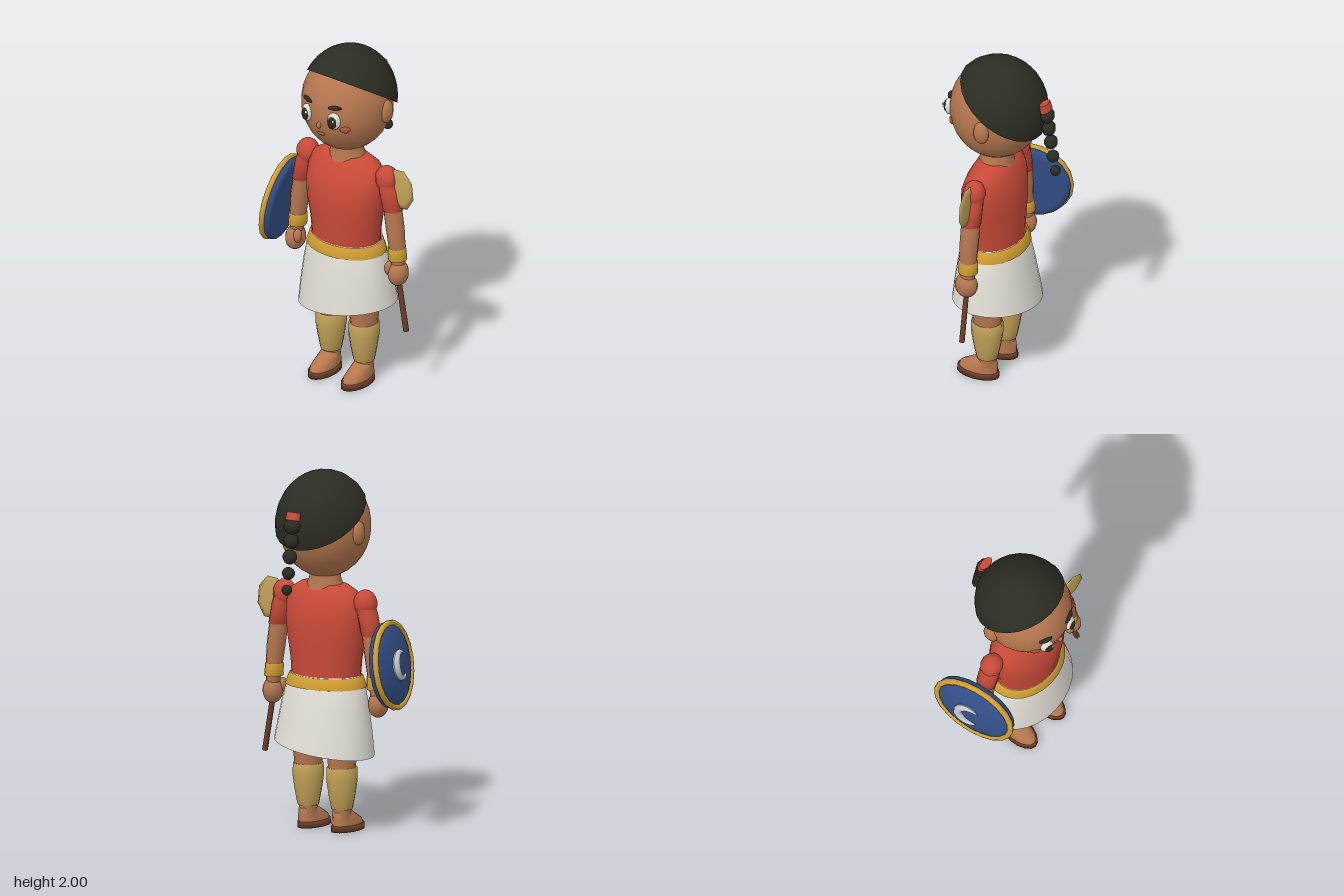
import * as THREE from 'three';
import { mergeVertices } from 'three/addons/utils/BufferGeometryUtils.js';

const mat = (name, color) => Object.assign(new THREE.MeshStandardMaterial({ color }), { name });

// Tube of elliptical rings listed from top to bottom: [y, rx, rz, cx, cz]
function loft(rings, seg = 18) {
  let g = new THREE.CylinderGeometry(1, 1, 1, seg, rings.length - 1, true);
  const p = g.attributes.position;
  for (let i = 0; i < p.count; i++) {
    const [y, rx, rz, cx = 0, cz = 0] = rings[Math.floor(i / (seg + 1))];
    p.setXYZ(i, p.getX(i) * rx + cx, y, p.getZ(i) * rz + cz);
  }
  g.deleteAttribute('uv');
  g.deleteAttribute('normal');
  g = mergeVertices(g, 1e-5);
  g.computeVertexNormals();
  return g;
}

export function createModel() {
  const skin = mat('skin', 0xb5774f), red = mat('red cloth', 0xc94a38), white = mat('white cloth', 0xe2dfd6);
  const gold = mat('gold', 0xd3a032), tan = mat('tan', 0xc2a258), hair = mat('black hair', 0x2b2c22);
  const blue = mat('blue', 0x34508a), brown = mat('dark brown', 0x6b3d28);
  const silver = mat('silver', 0xc4c8d0), blush = mat('blush', 0xa5593a);
  white.side = THREE.DoubleSide;

  const root = new THREE.Group();
  root.name = 'warriorGirl';
  const body = new THREE.Group();
  body.name = 'body';
  body.position.set(0.033, 0, 0.055);
  root.add(body);

  const add = (name, geo, m, pos = [0, 0, 0], parent = body) => {
    const mesh = new THREE.Mesh(geo, m);
    mesh.name = name;
    mesh.position.set(...pos);
    parent.add(mesh);
    return mesh;
  };
  const ball = (name, m, pos, r, seg = 14) => {
    const mesh = add(name, new THREE.SphereGeometry(1, seg, Math.ceil(seg * 0.7)), m, pos);
    mesh.scale.set(...r);
    return mesh;
  };

  // Head and hair cap
  ball('head', skin, [0, 1.69, 0], [0.25, 0.285, 0.26], 24);
  const cap = new THREE.SphereGeometry(1, 24, 12, 0, Math.PI * 2, 0, 1.37);
  cap.rotateX(-0.56);
  cap.scale(0.262, 0.302, 0.278);
  add('hairCap', cap, hair, [0, 1.698, -0.012]);

  // Plait
  const tie = add('hairTie', new THREE.CylinderGeometry(0.045, 0.05, 0.045, 8), red, [0, 1.785, -0.3]);
  tie.scale.z = 0.55;
  tie.rotation.x = 0.25;
  [[1.73, -0.312, 0.05], [1.65, -0.32, 0.047], [1.565, -0.332, 0.042], [1.475, -0.345, 0.036], [1.385, -0.36, 0.03]]
    .forEach(([y, z, r]) => ball('plaitBead', hair, [0, y, z], [r, Math.min(r, 0.043), Math.min(r, 0.038)], 9));

  // Face
  ball('nose', skin, [0, 1.635, 0.257], [0.014, 0.02, 0.016], 8);
  ball('mouth', blush, [0, 1.575, 0.236], [0.026, 0.01, 0.01], 10);
  for (const s of [-1, 1]) {
    ball('ear', skin, [s * 0.247, 1.677, -0.03], [0.03, 0.068, 0.046], 12);
    ball('eyeWhite', white, [s * 0.092, 1.68, 0.243], [0.038, 0.05, 0.025]).rotation.y = s * 0.35;
    ball('pupil', hair, [s * 0.093, 1.677, 0.262], [0.026, 0.036, 0.014]).rotation.y = s * 0.35;
    ball('eyeGlint', white, [s * 0.093 + 0.016, 1.695, 0.273], [0.008, 0.009, 0.005], 8);
    const brow = ball('eyebrow', hair, [s * 0.092, 1.758, 0.235], [0.041, 0.011, 0.016], 10);
    brow.rotation.set(0, s * 0.35, s * 0.06);
    ball('cheek', blush, [s * 0.14, 1.627, 0.205], [0.03, 0.02, 0.012], 10).rotation.y = s * 0.6;
  }

  // Neck and shirt
  add('neck', loft([[1.47, 0.085, 0.085], [1.4, 0.088, 0.085], [1.34, 0.115, 0.1]]), skin);
  add('shirt', loft([[1.37, 0, 0], [1.37, 0.15, 0.075], [1.33, 0.215, 0.11], [1.26, 0.243, 0.142, 0, 0.005],
    [1.18, 0.248, 0.163, 0, 0.012], [1.08, 0.236, 0.167, 0, 0.014], [0.95, 0.212, 0.16, 0, 0.012],
    [0.83, 0.203, 0.153, 0, 0.01]], 24), red);

  // Wrapped skirt with a slanting hem, and waist sash
  const skirt = loft([[0.868, 0.208, 0.158, 0, 0.01], [0.8, 0.235, 0.177, 0, 0.008], [0.7, 0.258, 0.197, 0, 0.004],
    [0.58, 0.277, 0.217], [0.46, 0.293, 0.236, 0, -0.006]], 28);
  const sp = skirt.attributes.position;
  for (let i = 0; i < sp.count; i++) {
    const t = Math.max(0, (0.8 - sp.getY(i)) / 0.34);
    sp.setY(i, sp.getY(i) + t * 0.137 * sp.getX(i));
  }
  skirt.computeVertexNormals();
  add('skirt', skirt, white);
  add('sash', loft([[0.864, 0.208, 0.158, 0, 0.01], [0.862, 0.219, 0.168, 0, 0.01], [0.803, 0.24, 0.184, 0, 0.008],
    [0.8, 0.23, 0.172, 0, 0.008]], 24), gold);

  for (const s of [-1, 1]) {
    // Legs, shin guards and sandals
    const x = s * 0.113;
    add('leg', loft([[0.78, 0.1, 0.11, x], [0.6, 0.098, 0.105, x], [0.45, 0.084, 0.09, x], [0.37, 0.074, 0.082, x],
      [0.3, 0.075, 0.08, x], [0.12, 0.05, 0.052, x], [0.04, 0.056, 0.06, x]], 14), skin);
    add('shinGuard', loft([[0.357, 0.07, 0.07, x], [0.357, 0.081, 0.089, x], [0.29, 0.084, 0.09, x],
      [0.21, 0.073, 0.078, x], [0.125, 0.058, 0.06, x], [0.125, 0.045, 0.045, x]], 14), tan);
    add('foot', loft([[0.125, 0, 0, x], [0.12, 0.045, 0.05, x, 0], [0.085, 0.054, 0.085, x, 0.025],
      [0.055, 0.06, 0.112, x, 0.05], [0.025, 0.063, 0.118, x, 0.055]], 16), skin);
    add('sandalSole', loft([[0.034, 0, 0, x, 0.055], [0.034, 0.068, 0.124, x, 0.055], [0, 0.07, 0.126, x, 0.055],
      [0, 0, 0, x, 0.055]], 16), brown);

    // Arms with puffed sleeves, bracelets and hands
    ball('sleevePuff', red, [s * 0.27, 1.285, 0], [0.068, 0.076, 0.062], 12);
    add('sleeve', loft([[1.31, 0.05, 0.052, s * 0.265], [1.22, 0.058, 0.058, s * 0.287],
      [1.11, 0.056, 0.058, s * 0.311], [1.11, 0, 0, s * 0.311]], 12), red);
    add('arm', loft([[1.14, 0.052, 0.053, s * 0.306], [1.0, 0.052, 0.053, s * 0.327], [0.88, 0.046, 0.048, s * 0.341],
      [0.77, 0.036, 0.04, s * 0.35]], 12), skin);
    add('bracelet', loft([[0.888, 0.04, 0.04, s * 0.339], [0.884, 0.05, 0.054, s * 0.339], [0.815, 0.052, 0.056, s * 0.344],
      [0.812, 0.035, 0.035, s * 0.344]], 12), gold);
    ball('hand', skin, [s * 0.353, 0.732, 0.005], [0.054, 0.074, 0.066], 12);
    ball('thumb', skin, [s * 0.312, 0.762, 0.04], [0.024, 0.04, 0.026], 10);
  }

  // Axe held along the left arm
  const axe = new THREE.Group();
  axe.name = 'axe';
  root.add(axe);
  const foot = new THREE.Vector3(0.44, 0.39, 0.06), top = new THREE.Vector3(0.285, 1.25, 0.055);
  const dir = top.clone().sub(foot);
  const shaft = add('axeShaft', new THREE.CylinderGeometry(0.014, 0.016, dir.length(), 8), brown,
    foot.clone().add(top).multiplyScalar(0.5).toArray(), axe);
  shaft.quaternion.setFromUnitVectors(new THREE.Vector3(0, 1, 0), dir.normalize());
  const bladeGeo = new THREE.SphereGeometry(1, 8, 4);
  bladeGeo.rotateX(Math.PI / 2);
  bladeGeo.rotateZ(Math.PI / 8);
  bladeGeo.scale(0.092, 0.124, 0.013);
  add('axeBlade', bladeGeo, tan, [0.396, 1.246, 0.055], axe).rotation.z = 0.1;

  // Round shield beside the right arm; local z points outward
  const shield = new THREE.Group();
  shield.name = 'shield';
  shield.position.set(-0.405, 0.957, 0.078);
  shield.lookAt(-1.405, 0.957 + 0.145, 0.078 + 0.21);
  root.add(shield);
  const plate = new THREE.LatheGeometry([[0, -0.04], [0.2, -0.04], [0.236, -0.035], [0.238, 0], [0.19, 0.022], [0.1, 0.042], [0, 0.05]]
    .map(([x, y]) => new THREE.Vector2(x, y)), 20);
  plate.rotateX(Math.PI / 2);
  add('shieldPlate', plate, blue, [0, 0, 0], shield);
  add('shieldRim', new THREE.TorusGeometry(0.233, 0.017, 8, 20), gold, [0, 0, 0.003], shield);

  // Crescent boss: a ring arc whose thickness fades toward its tips
  const arc = 4.5, R = 0.072;
  const moon = new THREE.TorusGeometry(R, 0.025, 8, 24, arc);
  const mp = moon.attributes.position;
  for (let i = 0; i < mp.count; i++) {
    const u = (i % 25) / 24, a = u * arc, k = 0.12 + 0.88 * Math.sin(u * Math.PI);
    const r = R + (Math.hypot(mp.getX(i), mp.getY(i)) - R) * k;
    mp.setXYZ(i, r * Math.cos(a), r * Math.sin(a), mp.getZ(i) * k);
  }
  moon.computeVertexNormals();
  moon.rotateZ(Math.PI - arc / 2);
  add('crescent', moon, silver, [0, 0, 0.052], shield);

  return root;
}
